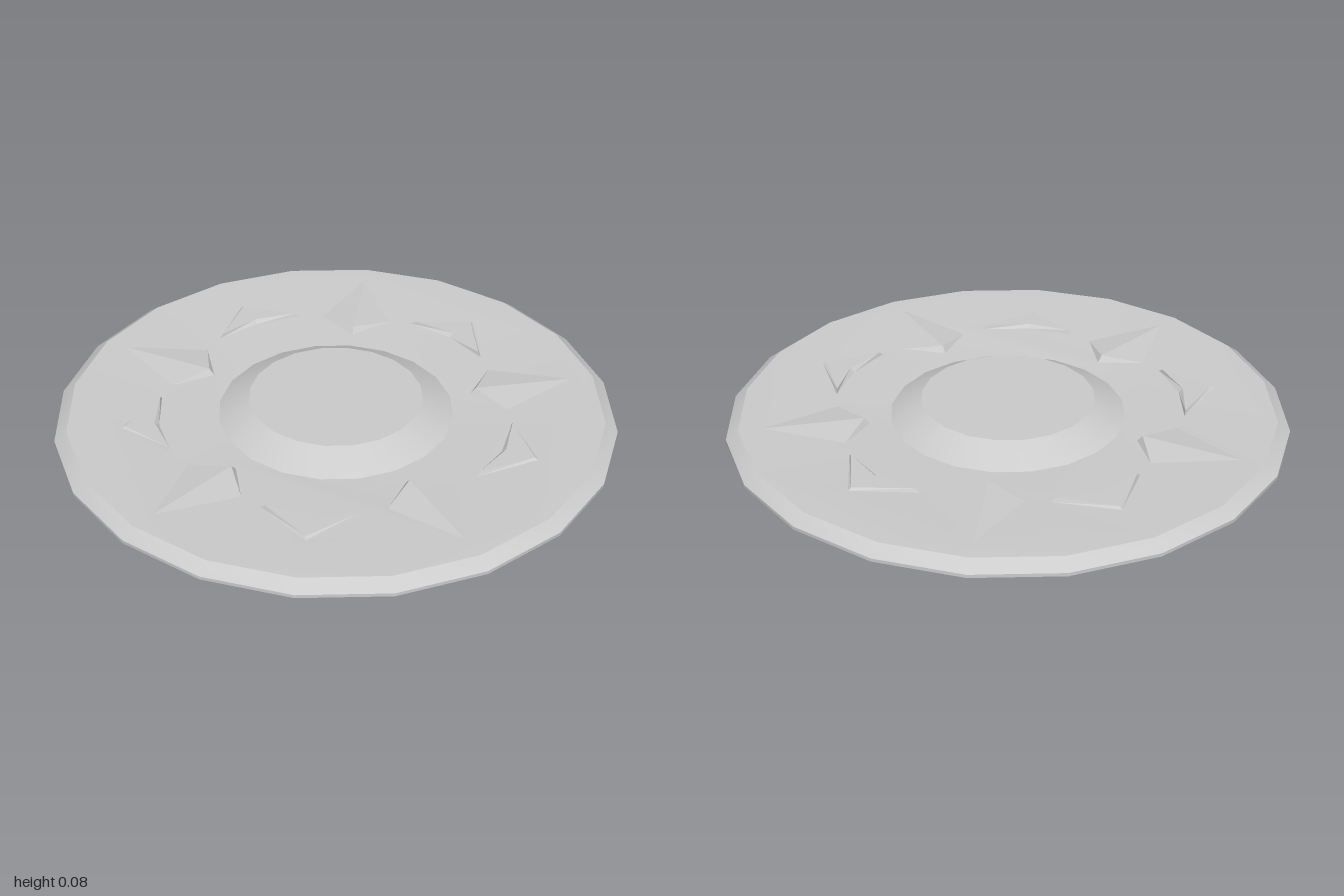
import * as THREE from 'three';
import { toCreasedNormals } from 'three/addons/utils/BufferGeometryUtils.js';

const SIDES = 20;
const RIM = 0.955, HUB = 0.42;

// Dished plate: height rises with distance from the centre
const dish = (r) => THREE.MathUtils.clamp(0.023 + (r - 0.45) * 0.05, 0.023, 0.045);

// Footprints as [across, outward]
const spikeOutline = [[0, 0.87], [0.13, 0.595], [0, 0.495], [-0.13, 0.595]];
const wedgeOutline = [[0, 0.765], [0.172, 0.605], [0, 0.632], [-0.172, 0.605]];
const wedgeTop = [[0, 0.752], [0.155, 0.612], [0, 0.647], [-0.155, 0.612]];

const onDish = ([x, z]) => [x, dish(Math.hypot(x, z)), z];

function facets(points, faces) {
  const g = new THREE.BufferGeometry();
  g.setAttribute('position', new THREE.Float32BufferAttribute(points.flat(), 3));
  g.setIndex(faces.flat());
  const flat = g.toNonIndexed();
  flat.computeVertexNormals();
  return flat;
}

function lathe(profile) {
  const pts = profile.map(([r, y]) => new THREE.Vector2(r, y));
  return toCreasedNormals(new THREE.LatheGeometry(pts, SIDES), 0.4);
}

const turn = ([x, z], a) => new THREE.Vector2(
  x * Math.cos(a) + z * Math.sin(a),
  -(z * Math.cos(a) - x * Math.sin(a)),
);

const ring = (r) => Array.from({ length: SIDES }, (_, i) => turn([0, r], (i / SIDES) * Math.PI * 2));

export function createModel() {
  const model = new THREE.Group();
  const material = new THREE.MeshStandardMaterial({ color: 0xcccccc, side: THREE.DoubleSide });
  const flatMaterial = material.clone();
  flatMaterial.flatShading = true;
  const add = (name, geometry, mat = material) => {
    const mesh = new THREE.Mesh(geometry, mat);
    mesh.name = name;
    model.add(mesh);
    return mesh;
  };

  // Bevelled rim, open underneath
  add('rim', lathe([[1, 0], [1, 0.012], [RIM, 0.045]]));

  // Central raised boss
  add('boss', lathe([[HUB, 0.023], [0.38, 0.045], [0.31, 0.083], [0, 0.083]]));

  // Dished plate with an opening under each raised ornament
  const plate = new THREE.Shape(ring(RIM));
  plate.holes.push(new THREE.Path(ring(HUB)));

  // Raised ornaments: five long spikes alternating with five wedges
  const spike = facets(
    [...spikeOutline.map(onDish), [0, 0.048, 0.515]],
    [[0, 1, 4], [1, 2, 4], [2, 3, 4], [3, 0, 4]],
  );
  const walls = [0, 1, 2, 3].flatMap((i) => {
    const j = (i + 1) % 4;
    return [[i, j, j + 4], [i, j + 4, i + 4]];
  });
  const wedge = facets(
    [...wedgeOutline.map(onDish), ...wedgeTop.map(([x, z]) => [x, 0.046, z])],
    [...walls, [4, 5, 6], [4, 6, 7]],
  );
  for (let i = 0; i < 10; i++) {
    const angle = (i * Math.PI) / 5;
    const isSpike = i % 2 === 0;
    const outline = isSpike ? spikeOutline : wedgeOutline;
    plate.holes.push(new THREE.Path(outline.map((p) => turn(p, angle))));
    add(isSpike ? 'spike' : 'wedge', isSpike ? spike : wedge, flatMaterial).rotation.y = angle;
  }

  const plateGeometry = new THREE.ShapeGeometry(plate).rotateX(-Math.PI / 2);
  const pos = plateGeometry.attributes.position;
  for (let i = 0; i < pos.count; i++) pos.setY(i, dish(Math.hypot(pos.getX(i), pos.getZ(i))));
  plateGeometry.computeVertexNormals();
  add('plate', plateGeometry);

  return model;
}
